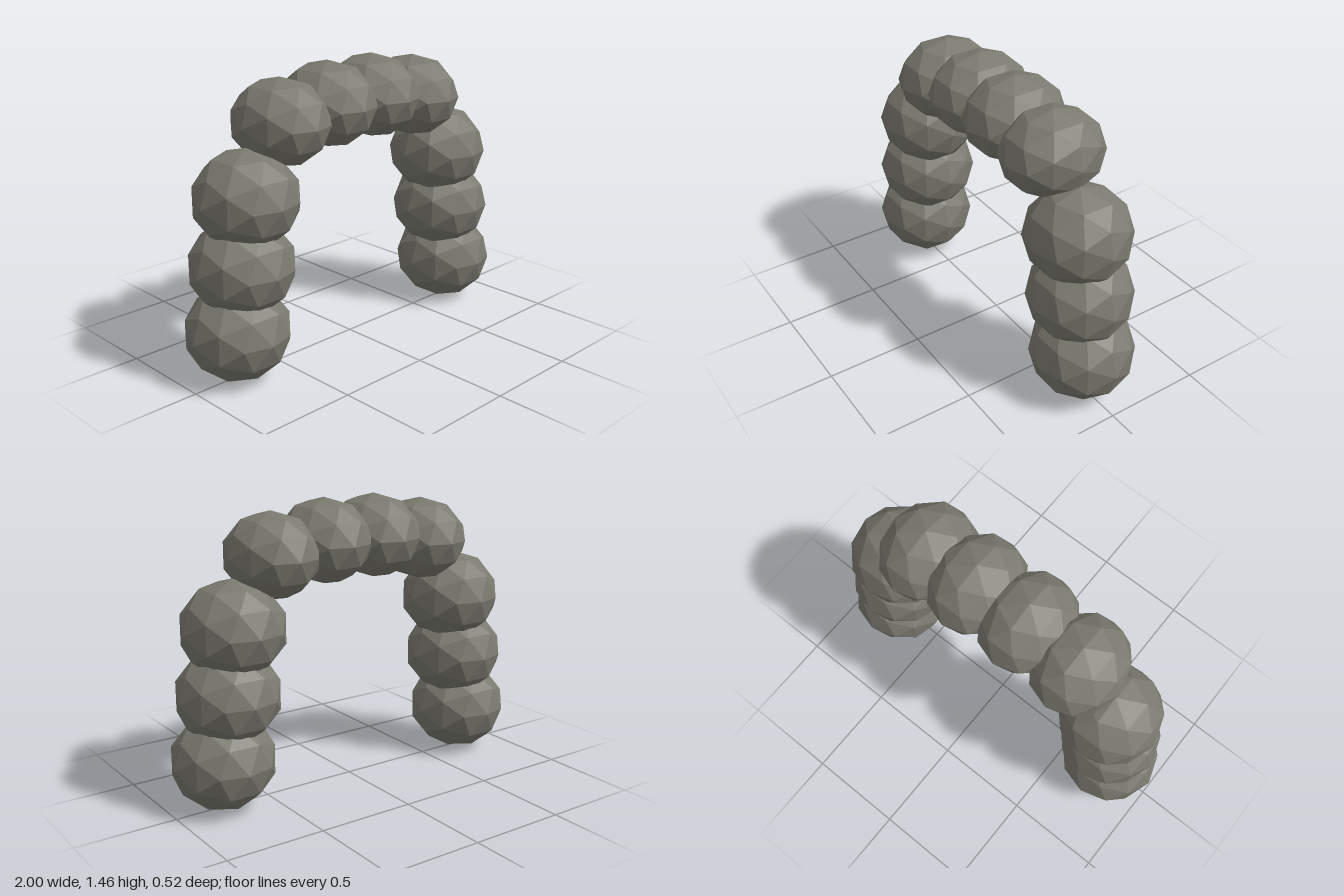
import * as THREE from 'three';

export function createModel() {
  const model = new THREE.Group();
  model.name = 'boulderArch';

  const stone = new THREE.MeshStandardMaterial({ color: 0x7b7a70 });
  stone.name = 'grey stone';
  stone.flatShading = true;

  // Faceted boulder, shared by every stone
  const boulder = new THREE.IcosahedronGeometry(1, 1).rotateY(Math.PI / 2);

  // One half of the arch from the ground up: name, centre x, centre y, half-sizes
  const pillarSize = [0.26, 0.242, 0.26];
  const spanSize = [0.23, 0.213, 0.26];
  const stones = [
    ['baseStone', 0.74, 0.243, pillarSize],
    ['middleStone', 0.702, 0.561, pillarSize],
    ['shoulderStone', 0.665, 0.88, pillarSize],
    ['cornerStone', 0.45, 1.208, spanSize],
    ['crownStone', 0.15, 1.25, spanSize],
  ];

  // Mirror the half arch to both sides
  for (const [side, label] of [[1, 'left'], [-1, 'right']]) {
    const half = new THREE.Group();
    half.name = `${label}HalfArch`;
    for (const [name, x, y, size] of stones) {
      const mesh = new THREE.Mesh(boulder, stone);
      mesh.name = name;
      mesh.position.set(side * x, y, 0);
      mesh.scale.set(...size);
      half.add(mesh);
    }
    model.add(half);
  }
  return model;
}
